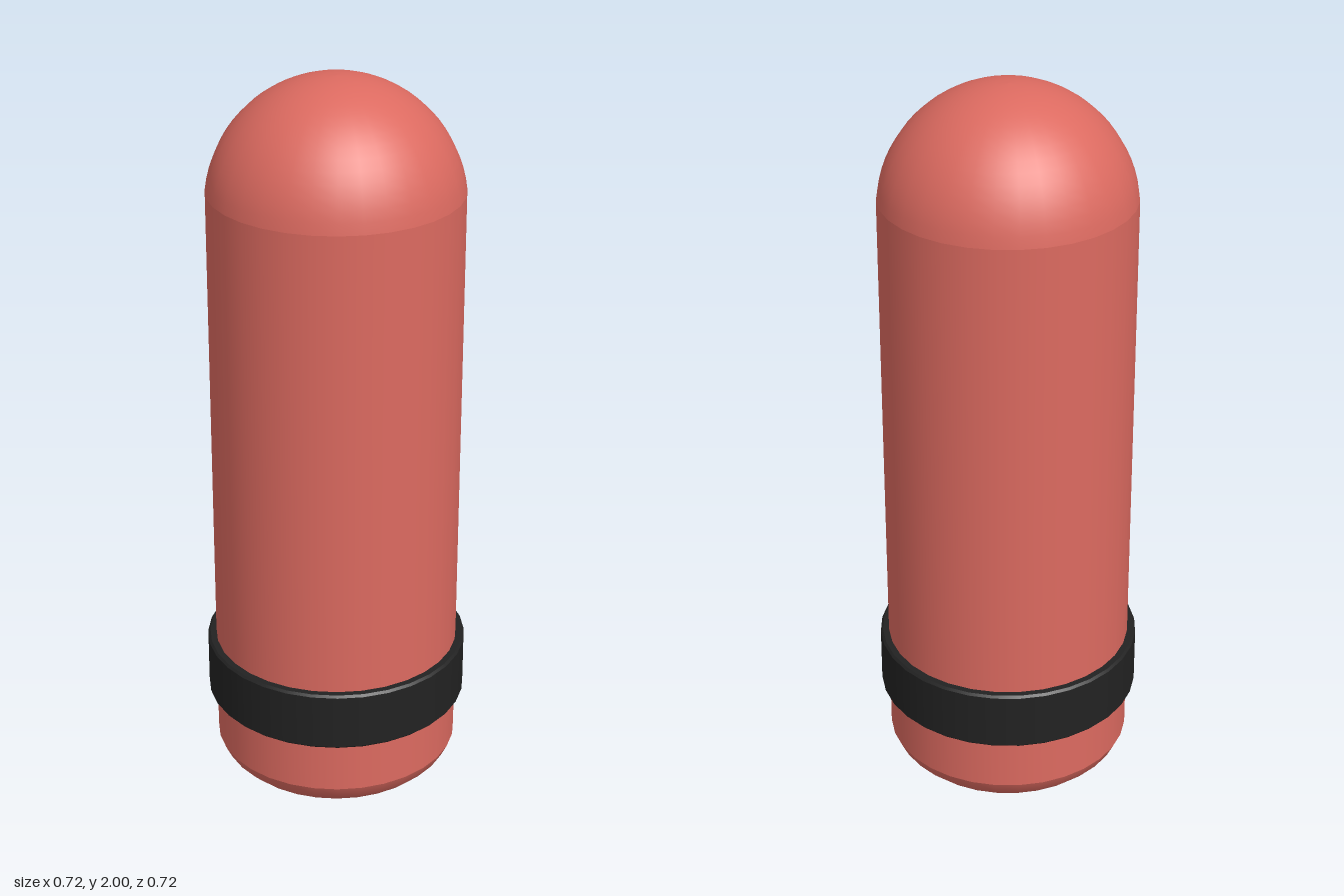
import * as THREE from 'three';

const SEGMENTS = 32;
const RADIUS = 0.335;

// Revolved surface from [radius, height] pairs, listed so that it faces outward
function lathe(name, profile, material) {
  const points = profile.map(([r, y]) => new THREE.Vector2(r, y));
  const mesh = new THREE.Mesh(new THREE.LatheGeometry(points, SEGMENTS), material);
  mesh.name = name;
  return mesh;
}

export function createModel() {
  const model = new THREE.Group();
  model.name = 'capsule';
  const red = new THREE.MeshStandardMaterial({ color: 0xdc6a60 });
  const black = new THREE.MeshStandardMaterial({ color: 0x222222 });

  // Body: flat base, rounded lower rim, straight wall and domed top
  const base = lathe('base', [[0, 0], [0.22, 0]], red);
  const lowerRim = lathe('lowerRim',
    [[0.22, 0], [0.255, 0.009], [0.29, 0.028], [0.318, 0.055], [RADIUS, 0.09]], red);
  const wall = lathe('wall', [[RADIUS, 0.09], [RADIUS, 1.7]], red);

  // The dome is a spherical cap that starts slightly above the sphere's equator
  const domeRadius = 0.337;
  const centre = 2 - domeRadius;
  const start = Math.acos(RADIUS / domeRadius);
  const domeProfile = [];
  for (let i = 0; i <= 16; i++) {
    const a = start + (Math.PI / 2 - start) * i / 16;
    domeProfile.push([i === 16 ? 0 : domeRadius * Math.cos(a), centre + domeRadius * Math.sin(a)]);
  }
  const dome = lathe('dome', domeProfile, red);

  // Band: a collar with narrow bevels, each face kept crisp
  const band = new THREE.Group();
  band.name = 'band';
  const corners = [
    [0.325, 0.237], [0.352, 0.237], [0.358, 0.243],
    [0.358, 0.397], [0.352, 0.403], [0.325, 0.403], [0.325, 0.237],
  ];
  for (let i = 0; i < corners.length - 1; i++) {
    band.add(lathe('bandFace', [corners[i], corners[i + 1]], black));
  }

  model.add(base, lowerRim, wall, dome, band);
  return model;
}
